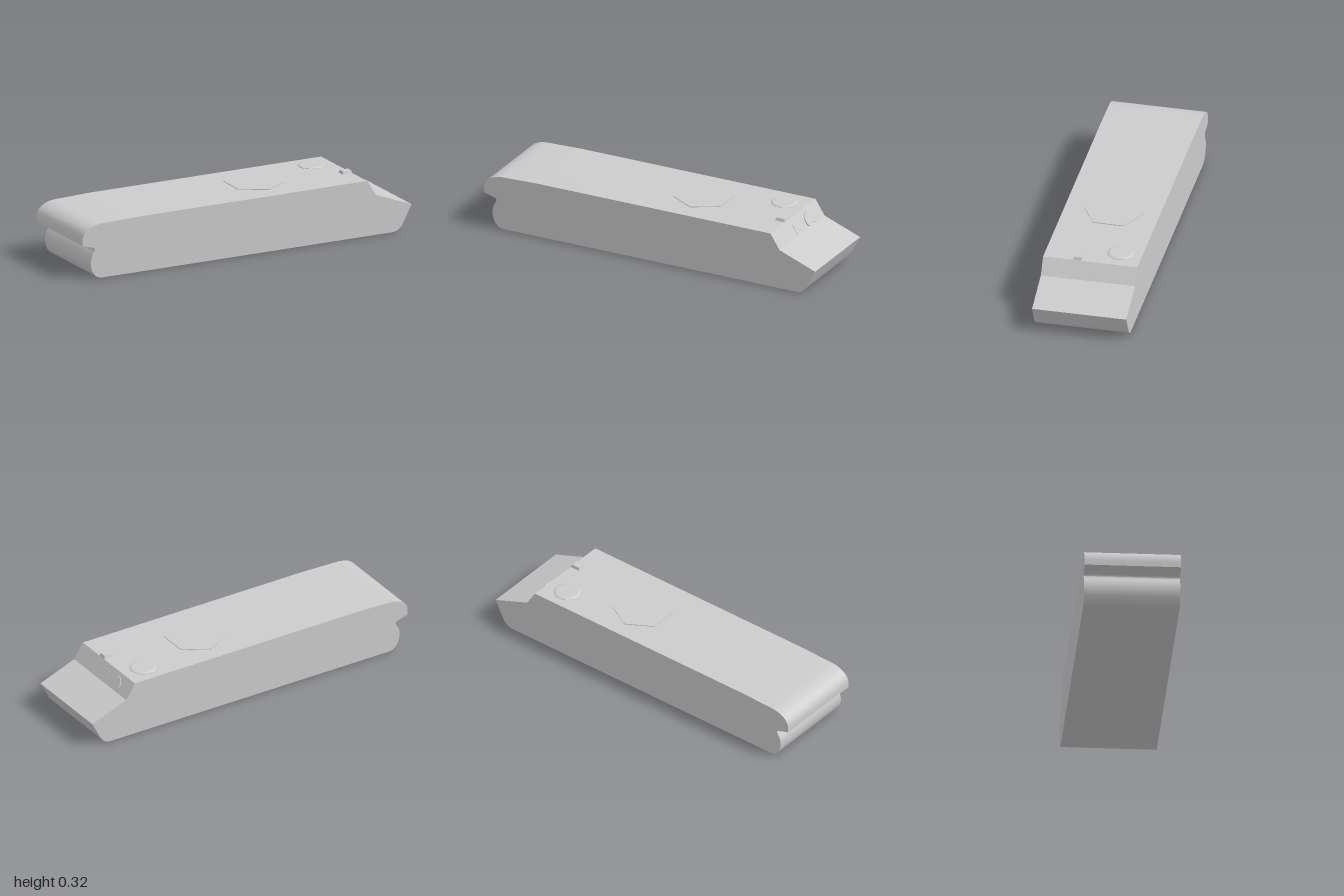
import * as THREE from 'three';
import { toCreasedNormals } from 'three/addons/utils/BufferGeometryUtils.js';

const WIDTH = 0.516, TOP = 0.308;
const material = new THREE.MeshStandardMaterial({ color: 0xcccccc });

function add(parent, name, geometry, x = 0, y = 0, z = 0) {
  const mesh = new THREE.Mesh(geometry, material);
  mesh.name = name;
  mesh.position.set(x, y, z);
  parent.add(mesh);
  return mesh;
}

const extrude = (shape, depth) => new THREE.ExtrudeGeometry(shape, { depth, bevelEnabled: false, curveSegments: 10 });

// Side profile: grooved rounded tail on -x, chamfered nose on +x
function bodyProfile() {
  const s = new THREE.Shape();
  s.moveTo(-0.88, 0);
  s.lineTo(0.88, 0);
  s.bezierCurveTo(0.92, 0, 0.935, 0.02, 0.95, 0.045);
  s.lineTo(1, 0.14);
  s.lineTo(0.785, 0.222);
  s.lineTo(0.73, TOP);
  s.lineTo(-0.68, TOP);
  s.lineTo(-0.88, 0.302);
  s.bezierCurveTo(-0.95, 0.3, -1, 0.27, -1, 0.22);
  s.lineTo(-1, 0.192);
  s.lineTo(-0.94, 0.175);
  s.bezierCurveTo(-0.92, 0.17, -0.92, 0.16, -0.93, 0.145);
  s.bezierCurveTo(-0.965, 0.105, -0.95, 0, -0.88, 0);
  return s;
}

function roundedRect(x0, y0, x1, y1, r) {
  const s = new THREE.Shape();
  s.moveTo(x0 + r, y0);
  s.lineTo(x1 - r, y0);
  s.quadraticCurveTo(x1, y0, x1, y0 + r);
  s.lineTo(x1, y1 - r);
  s.quadraticCurveTo(x1, y1, x1 - r, y1);
  s.lineTo(x0 + r, y1);
  s.quadraticCurveTo(x0, y1, x0, y1 - r);
  s.lineTo(x0, y0 + r);
  s.quadraticCurveTo(x0, y0, x0 + r, y0);
  return s;
}

export function createModel() {
  const model = new THREE.Group();
  model.name = 'handheldDevice';

  const body = extrude(bodyProfile(), WIDTH).translate(0, 0, -WIDTH / 2);
  add(model, 'body', toCreasedNormals(body, 0.5));

  // Raised hexagon, its points towards the long sides
  add(model, 'hexagonPlate', new THREE.CylinderGeometry(0.164, 0.164, 0.008, 6).toNonIndexed(), 0.19, TOP, -0.01)
    .geometry.computeVertexNormals();

  // Round button with a bevelled rim
  const buttonProfile = [[0.072, -0.004], [0.072, 0.002], [0.062, 0.007], [0, 0.007]]
    .map(([r, y]) => new THREE.Vector2(r, y));
  add(model, 'roundButton', toCreasedNormals(new THREE.LatheGeometry(buttonProfile, 32), 0.3), 0.605, TOP, -0.14);

  // Small slider, tapered towards the top
  const slider = new THREE.BoxGeometry(0.06, 0.02, 0.05);
  const p = slider.attributes.position;
  for (let i = 0; i < p.count; i++) {
    if (p.getY(i) > 0) p.setXYZ(i, p.getX(i) * 0.8, p.getY(i), p.getZ(i) * 0.76);
  }
  slider.computeVertexNormals();
  add(model, 'slider', slider, 0.7, TOP + 0.006, 0.07);

  // Sloped panel: local x runs to the back, y up the slope, z outwards
  const panel = new THREE.Group();
  panel.name = 'slopedPanel';
  panel.position.set(0.785, 0.222, 0);
  panel.rotation.set(-0.569, Math.PI / 2, 0, 'YXZ');
  model.add(panel);

  add(panel, 'rectangularKey', extrude(roundedRect(-0.045, 0.007, 0.043, 0.068, 0.014), 0.004), 0, 0, -0.002);

  const marker = new THREE.Shape();
  marker.moveTo(-0.02, 0.02);
  marker.lineTo(0.02, 0.02);
  marker.lineTo(0, 0.031);
  add(panel, 'keyMarker', extrude(marker, 0.002), 0, 0, 0.001);

  // Round key cut off along a shallow notch at the bottom
  const key = new THREE.Shape();
  key.absarc(0, 0.034, 0.046, -0.71, Math.PI + 0.62, false);
  key.lineTo(-0.015, 0.012);
  key.lineTo(0.012, 0.011);
  key.closePath();
  add(panel, 'roundKey', toCreasedNormals(extrude(key, 0.008), 0.5), 0.12, 0, -0.002);

  return model;
}
